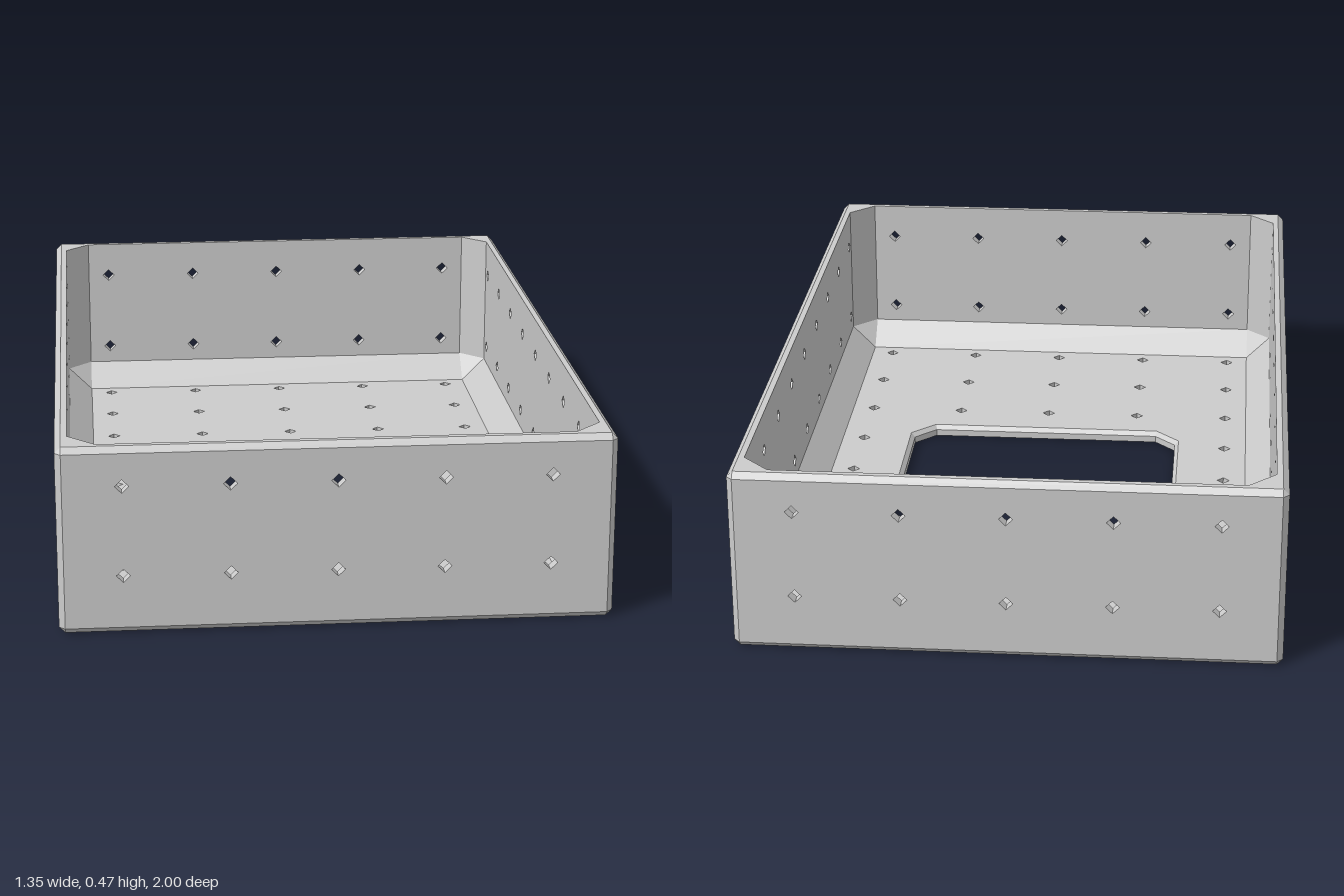
import * as THREE from 'three';

const X = 0.673, Z = 1, H = 0.47;        // outer half width, half depth, height
const T = 0.03, C = 0.015, CUT = 0.067;  // wall thickness, outer and inner chamfers
const R = 0.017;                         // radius of the diamond-shaped holes
const HOLE_Y = [0.147, 0.373];

const solid = new THREE.MeshStandardMaterial({ color: 0xcccccc, flatShading: true });
const lining = new THREE.MeshStandardMaterial({ color: 0xcccccc, flatShading: true, side: THREE.DoubleSide });

const spaced = (count, step) => Array.from({ length: count }, (_, i) => (i - (count - 1) / 2) * step);
const ACROSS = spaced(5, 0.258), ALONG = spaced(9, 0.215);

// Rectangle with cut corners, anticlockwise from above; even sides are the long ones
function ring(x, z, cut, y) {
  return [[x, z - cut], [x, cut - z], [x - cut, -z], [cut - x, -z],
    [-x, cut - z], [-x, z - cut], [cut - x, z], [x - cut, z]].map(([a, b]) => new THREE.Vector3(a, y, b));
}

// Joins successive rings with flat faces; keep(band, side) can leave sides open
function loft(rings, keep = () => true) {
  const points = [];
  const tri = (a, b, c) => {
    if (new THREE.Triangle(a, b, c).getArea() > 1e-7) points.push(a, b, c);
  };
  for (let j = 0; j < rings.length - 1; j++) {
    for (let i = 0; i < 8; i++) {
      if (!keep(j, i)) continue;
      const k = (i + 1) % 8;
      tri(rings[j][i], rings[j][k], rings[j + 1][k]);
      tri(rings[j][i], rings[j + 1][k], rings[j + 1][i]);
    }
  }
  const geometry = new THREE.BufferGeometry().setFromPoints(points);
  geometry.computeVertexNormals();
  return geometry;
}

// Flat rectangular sheet pierced by diamonds and, optionally, a larger opening
function sheet(halfWidth, low, high, holes, opening) {
  const shape = new THREE.Shape([[-halfWidth, low], [halfWidth, low], [halfWidth, high], [-halfWidth, high]]
    .map(([x, y]) => new THREE.Vector2(x, y)));
  for (const [x, y] of holes) {
    shape.holes.push(new THREE.Path([[R, 0], [0, -R], [-R, 0], [0, R]]
      .map(([a, b]) => new THREE.Vector2(x + a, y + b))));
  }
  if (opening) shape.holes.push(new THREE.Path(opening.map(p => new THREE.Vector2(p.x, p.z))));
  return new THREE.ShapeGeometry(shape);
}

function add(parent, name, geometry, material = solid) {
  const mesh = new THREE.Mesh(geometry, material);
  mesh.name = name;
  parent.add(mesh);
  return mesh;
}

// One wall facing +z: both faces and the linings of its holes
function makeWall(name, half, distance, columns, angle) {
  const wall = new THREE.Group();
  wall.name = name;
  const holes = columns.flatMap(x => HOLE_Y.map(y => [x, y]));
  add(wall, 'outerFace', sheet(half - C, C, H - C, holes).translate(0, 0, distance));
  add(wall, 'innerFace', sheet(half - T - CUT, T + CUT, H, holes)
    .rotateY(Math.PI).translate(0, 0, distance - T));
  for (const [x, y] of holes) {
    add(wall, 'wallHole', new THREE.CylinderGeometry(R, R, T, 4, 1, true)
      .rotateX(Math.PI / 2).translate(x, y, distance - T / 2), lining);
  }
  wall.rotation.y = angle;
  return wall;
}

// Floor with the central opening and the grid of holes around it
function makeFloor() {
  const floor = new THREE.Group();
  floor.name = 'floor';
  const upper = ring(0.385, 0.323, 0.065, T);
  const middle = ring(0.374, 0.312, 0.057, T - 0.012);
  const lower = ring(0.374, 0.312, 0.057, 0);
  const holes = ACROSS.flatMap(x => ALONG.map(z => [x, z]))
    .filter(([x, z]) => Math.abs(x) > 0.4 || Math.abs(z) > 0.35);
  const inner = Z - T - CUT;
  add(floor, 'floorTop', sheet(X - T - CUT, -inner, inner, holes, upper)
    .rotateX(-Math.PI / 2).translate(0, T, 0));
  add(floor, 'floorUnderside', sheet(X - C, C - Z, Z - C, holes, lower).rotateX(Math.PI / 2));
  add(floor, 'openingRim', loft([upper, middle, lower]));
  for (const [x, z] of holes) {
    add(floor, 'floorHole', new THREE.CylinderGeometry(R, R, T, 4, 1, true).translate(x, T / 2, z), lining);
  }
  return floor;
}

export function createModel() {
  const model = new THREE.Group();
  model.name = 'perforatedTray';

  // Chamfered edges, corners and top rim; the flat walls are left open here
  const rings = [
    ring(X - C, Z - C, 0, 0),
    ring(X, Z, C, C),
    ring(X, Z, C, H - C),
    ring(X - C, Z - C, 0, H),
    ring(X - T, Z - T, CUT, H),
    ring(X - T, Z - T, CUT, T + CUT),
    ring(X - T - CUT, Z - T - CUT, 0, T),
  ];
  add(model, 'chamferedEdges', loft(rings, (band, side) => !((band === 1 || band === 4) && side % 2 === 0)));

  // Four pierced walls
  model.add(makeWall('frontWall', X, Z, ACROSS, 0));
  model.add(makeWall('backWall', X, Z, ACROSS, Math.PI));
  model.add(makeWall('leftWall', Z, X, ALONG, Math.PI / 2));
  model.add(makeWall('rightWall', Z, X, ALONG, -Math.PI / 2));

  model.add(makeFloor());
  return model;
}
